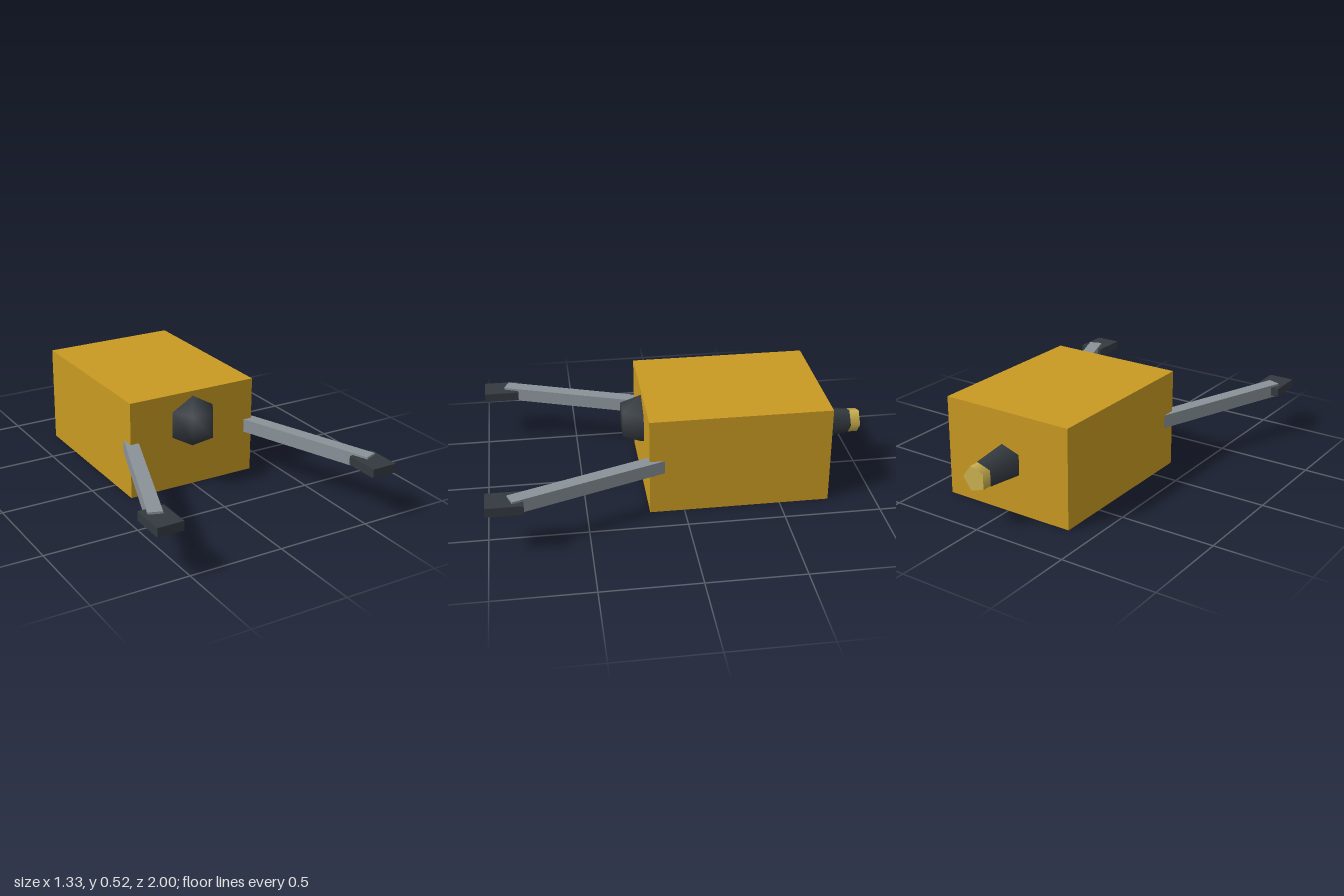
import * as THREE from 'three';

const paint = (name, color) => {
  const m = new THREE.MeshStandardMaterial({ color });
  m.name = name;
  return m;
};

export function createModel() {
  const model = new THREE.Group();
  model.name = 'model';
  const ochre = paint('ochre', 0xc99a22);
  const charcoal = paint('charcoal', 0x343a40);
  const steel = paint('steel', 0x8a9298);
  const brass = paint('brass', 0xc9b04f);

  const add = (name, geometry, material, x, y, z) => {
    const mesh = new THREE.Mesh(geometry, material);
    mesh.name = name;
    mesh.position.set(x, y, z);
    model.add(mesh);
    return mesh;
  };

  // Box body
  add('body', new THREE.BoxGeometry(0.726, 0.522, 0.936), ochre, 0, 0.261, -0.29);

  // Domed eye half sunk into the front face
  add('eye', new THREE.SphereGeometry(0.139, 6, 3), charcoal, 0, 0.356, 0.178);

  // Five-sided nozzle and tip, pointing backwards with one corner at +x
  const backwards = (rFront, rBack, length) =>
    new THREE.CylinderGeometry(rBack, rFront, length, 5, 1, false, Math.PI / 2).rotateX(-Math.PI / 2);
  add('nozzle', backwards(0.097, 0.07, 0.245), charcoal, 0, 0.264, -0.8255);
  add('nozzleTip', backwards(0.067, 0.067, 0.08), brass, 0, 0.264, -0.96);

  // Splayed arms with flat hands
  const splay = 0.35, armLength = 0.9;
  for (const [side, s] of [['left', 1], ['right', -1]]) {
    const arm = add(side + 'Arm', new THREE.BoxGeometry(0.071, 0.071, armLength), steel,
      s * (0.61 - Math.sin(splay) * armLength / 2), 0.263, 0.88 - Math.cos(splay) * armLength / 2);
    arm.rotation.y = s * splay;
    add(side + 'Hand', new THREE.BoxGeometry(0.137, 0.047, 0.185), charcoal, s * 0.598, 0.264, 0.9075);
  }
  return model;
}
